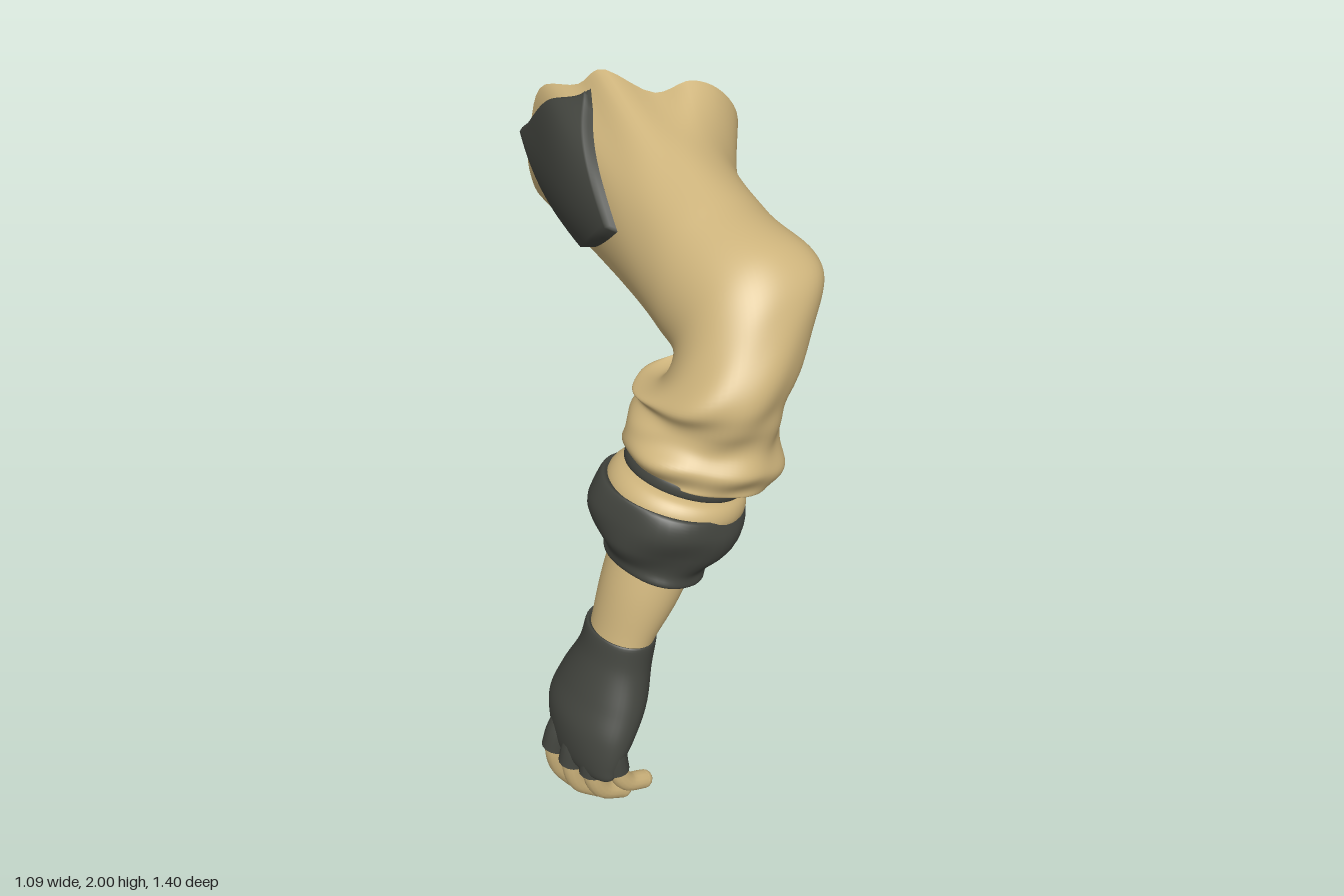
import * as THREE from 'three';

const V3 = (p) => new THREE.Vector3(...p);
const tan = new THREE.MeshStandardMaterial({ color: 0xceb47c, side: THREE.DoubleSide });
tan.name = 'tan cloth and skin';
const dark = new THREE.MeshStandardMaterial({ color: 0x42443e, side: THREE.DoubleSide });
dark.name = 'dark cloth';

// Smooth surface from fn(u, v); u wraps round when closed
function surface(nu, nv, fn, closed) {
  const cols = closed ? nu : nu + 1, pos = [], idx = [];
  for (let i = 0; i <= nv; i++)
    for (let j = 0; j < cols; j++) pos.push(...fn(j / nu, i / nv).toArray());
  for (let i = 0; i < nv; i++)
    for (let j = 0; j < nu; j++) {
      const k = (j + 1) % cols, a = i * cols + j, b = i * cols + k;
      idx.push(a, b, a + cols, b, b + cols, a + cols);
    }
  const g = new THREE.BufferGeometry();
  g.setAttribute('position', new THREE.Float32BufferAttribute(pos, 3));
  g.setIndex(idx);
  g.computeVertexNormals();
  return g;
}

// Elliptical ring: centre plus two half-axis vectors
const ring = (c, U, V) => (u) => {
  const a = u * Math.PI * 2;
  return V3(c).addScaledVector(V3(U), Math.cos(a)).addScaledVector(V3(V), Math.sin(a));
};
// Ring round the forearm: width w with slope s in x, depth d in z
const hoop = (x, y, z, w, s, d) => ring([x, y, z], [w, s, 0], [0, 0, d]);

// Surface through a list of rings, with optional fold amount f(u, v)
function through(rings, fold) {
  const at = (u, v) =>
    new THREE.CatmullRomCurve3(rings.map((r) => r(u)), false, 'catmullrom', 0.5).getPoint(v);
  return (u, v) => {
    const p = at(u, v);
    if (fold) {
      const c = p.clone().add(at((u + 0.5) % 1, v)).multiplyScalar(0.5);
      p.sub(c).multiplyScalar(1 + fold(u, v)).add(c);
    }
    return p;
  };
}

export function createModel() {
  const model = new THREE.Group();
  model.name = 'arm';
  const add = (name, geo, mat, parent = model) => {
    const m = new THREE.Mesh(geo, mat);
    m.name = name;
    parent.add(m);
    return m;
  };

  // Slanted, uneven shoulder opening
  const rimCurve = new THREE.CatmullRomCurve3([
    [.54, 1.66, -.2], [.53, 1.84, -.14], [.45, 1.95, -.14], [.37, 1.985, -.17],
    [.28, 1.95, -.22], [.18, 2.0, -.36], [.14, 1.94, -.42], [.1, 1.89, -.56], [.1, 1.74, -.63],
    [.12, 1.55, -.68], [.18, 1.42, -.68], [.33, 1.41, -.61], [.46, 1.43, -.47], [.53, 1.52, -.32],
  ].map(V3), true);
  // Spread the rim points so the patched side sits at half a turn
  const rim = (u) => rimCurve.getPoint(u < 0.5 ? u * 2 * 8 / 14 : (8 + (u - 0.5) * 12) / 14);

  // Sleeve: upper arm, bent elbow, bunched lower end
  const sleeveRings = [
    rim,
    ring([.2, 1.64, .02], [.228, 0, 0], [0, .265, 0]),
    ring([.155, 1.605, .25], [.222, 0, 0], [0, .235, .03]),
    ring([.135, 1.58, .4], [.222, .02, 0], [0, .205, .11]),
    ring([.085, 1.51, .45], [.225, .04, 0], [0, .14, .182]),
    ring([0, 1.41, .465], [.215, 0, 0], [0, .04, .23]),
    hoop(-.01, 1.32, .455, .2, -.03, .21),
    hoop(-.035, 1.22, .46, .225, -.06, .23),
    hoop(-.05, 1.15, .46, .2, -.06, .21),
    hoop(-.06, 1.16, .46, .14, -.04, .16),
  ];
  const sleeve = through(sleeveRings, (u, v) => {
    const k = THREE.MathUtils.smoothstep(v, 0.36, 0.6), a = u * Math.PI * 2;
    const elbow = 0.12 * Math.exp(-(((a - 0.75) / 0.45) ** 2) - ((v - 0.4) / 0.09) ** 2);
    return elbow + k * (0.025 * Math.sin(v * 48 + 2 * Math.sin(a)) + 0.025 * Math.sin(3 * a + v * 14)
      + 0.015 * Math.sin(7 * a - v * 30));
  });
  add('sleeve', surface(72, 108, sleeve, true), tan);

  // Shoulder patch: padded four-cornered cloth through the sleeve wall, rear corner past the rim
  const lerp = THREE.MathUtils.lerp;
  const corners = [[.355, .1], [.47, 1.0], [.525, -.08], [.625, .52]];
  const onSleeve = (u, t) => {
    if (t >= 0) return sleeve(u, t / 9);
    const p = sleeve(u, 0);
    return p.addScaledVector(p.clone().sub(sleeve(u, 0.005)), -t / 0.045);
  };
  const patch = (offset, bulge) => (u, v) => {
    const mix = (k) => lerp(lerp(corners[0][k], corners[1][k], u), lerp(corners[2][k], corners[3][k], u), v);
    const p = onSleeve(mix(0), mix(1) + 0.1 * Math.sin(Math.PI * v) * (1 - u));
    const out = new THREE.Vector3(p.x - 0.28, p.y - 1.66, -0.05).normalize();
    const edge = Math.min(1, 20 * Math.min(u, 1 - u, v, 1 - v));
    return p.addScaledVector(out, edge * offset + bulge * Math.sin(Math.PI * u) * Math.sin(Math.PI * v));
  };
  add('shoulderPatchOuter', surface(40, 40, patch(0.024, 0.02), false), dark);
  add('shoulderPatchInner', surface(40, 40, patch(-0.012, 0), false), dark);

  const loft = (name, rings, mat, fold, parent) =>
    add(name, surface(48, rings.length * 6, through(rings, fold), true), mat, parent);

  // Thin dark band, tan lining and gathered dark cuff
  loft('thinBand', [
    hoop(-.08, 1.18, .46, .14, -.05, .15), hoop(-.09, 1.17, .46, .165, -.055, .18),
    hoop(-.1, 1.135, .46, .165, -.055, .18), hoop(-.1, 1.13, .46, .13, -.05, .15),
  ], dark);
  loft('cuffLining', [
    hoop(-.1, 1.145, .46, .13, -.045, .14), hoop(-.11, 1.125, .46, .18, -.055, .195),
    hoop(-.13, 1.08, .46, .193, -.058, .208), hoop(-.14, 1.03, .46, .165, -.05, .175),
  ], tan);
  loft('gatheredCuff', [
    hoop(-.135, 1.07, .46, .17, -.055, .18), hoop(-.14, 1.1, .46, .202, -.065, .206),
    hoop(-.15, 1.045, .46, .225, -.05, .222), hoop(-.165, .97, .46, .205, -.045, .2),
    hoop(-.2, .905, .46, .14, -.04, .168), hoop(-.21, .865, .46, .128, -.04, .168),
    hoop(-.215, .855, .46, .09, -.03, .12),
  ], dark, (u, v) => {
    const a = u * Math.PI * 2;
    return Math.sin(v * Math.PI) * (0.03 * Math.sin(3 * a + v * 8) + 0.025 * Math.sin(5 * a - v * 11));
  });

  // Bare forearm
  loft('forearm', [
    hoop(-.17, .98, .46, .12, -.035, .14), hoop(-.25, .8, .463, .105, -.035, .13),
    hoop(-.31, .66, .46, .083, -.02, .112), hoop(-.33, .59, .46, .08, -.02, .11),
  ], tan);

  // Fingerless glove
  const hand = new THREE.Group();
  hand.name = 'hand';
  model.add(hand);
  loft('glove', [
    hoop(-.315, .645, .46, .08, -.015, .108), hoop(-.318, .655, .46, .094, -.015, .122),
    hoop(-.34, .57, .46, .097, -.02, .13), hoop(-.38, .46, .457, .106, -.02, .167),
    hoop(-.428, .37, .462, .096, -.02, .18), hoop(-.465, .29, .48, .066, -.005, .162),
    hoop(-.478, .245, .485, .04, .01, .138), hoop(-.478, .238, .485, .001, 0, .001),
  ], dark, null, hand);
  const tab = add('wristTab', new THREE.BoxGeometry(.014, .04, .09), dark, hand);
  tab.position.set(-.222, .648, .45);
  tab.rotation.z = -0.4;

  // Fingers: bent tan tubes with rounded tips and short dark glove sleeves
  const finger = (name, pts, r, cover) => {
    const path = new THREE.CatmullRomCurve3(pts.map(V3));
    add(name, new THREE.TubeGeometry(path, 16, r, 14), tan, hand);
    add(name + 'Tip', new THREE.SphereGeometry(r, 14, 10), tan, hand).position.copy(path.getPoint(1));
    const base = new THREE.CatmullRomCurve3([0, .5, 1].map((t) => path.getPoint(t * cover)));
    add(name + 'GloveSleeve', new THREE.TubeGeometry(base, 8, r + .01, 14), dark, hand);
  };
  finger('littleFinger', [[-.44, .36, .6], [-.445, .27, .615], [-.41, .2, .62], [-.345, .165, .615]], .029, .36);
  finger('ringFinger', [[-.46, .34, .545], [-.488, .24, .55], [-.455, .14, .55], [-.375, .085, .545]], .031, .38);
  finger('middleFinger', [[-.47, .33, .47], [-.508, .23, .47], [-.485, .12, .47], [-.41, .045, .47]], .031, .38);
  finger('indexFinger', [[-.47, .33, .39], [-.513, .23, .385], [-.495, .12, .38], [-.445, .036, .38]], .031, .38);
  finger('thumb', [[-.37, .48, .38], [-.33, .38, .325], [-.32, .27, .305], [-.34, .188, .31]], .035, .56);

  return model;
}
